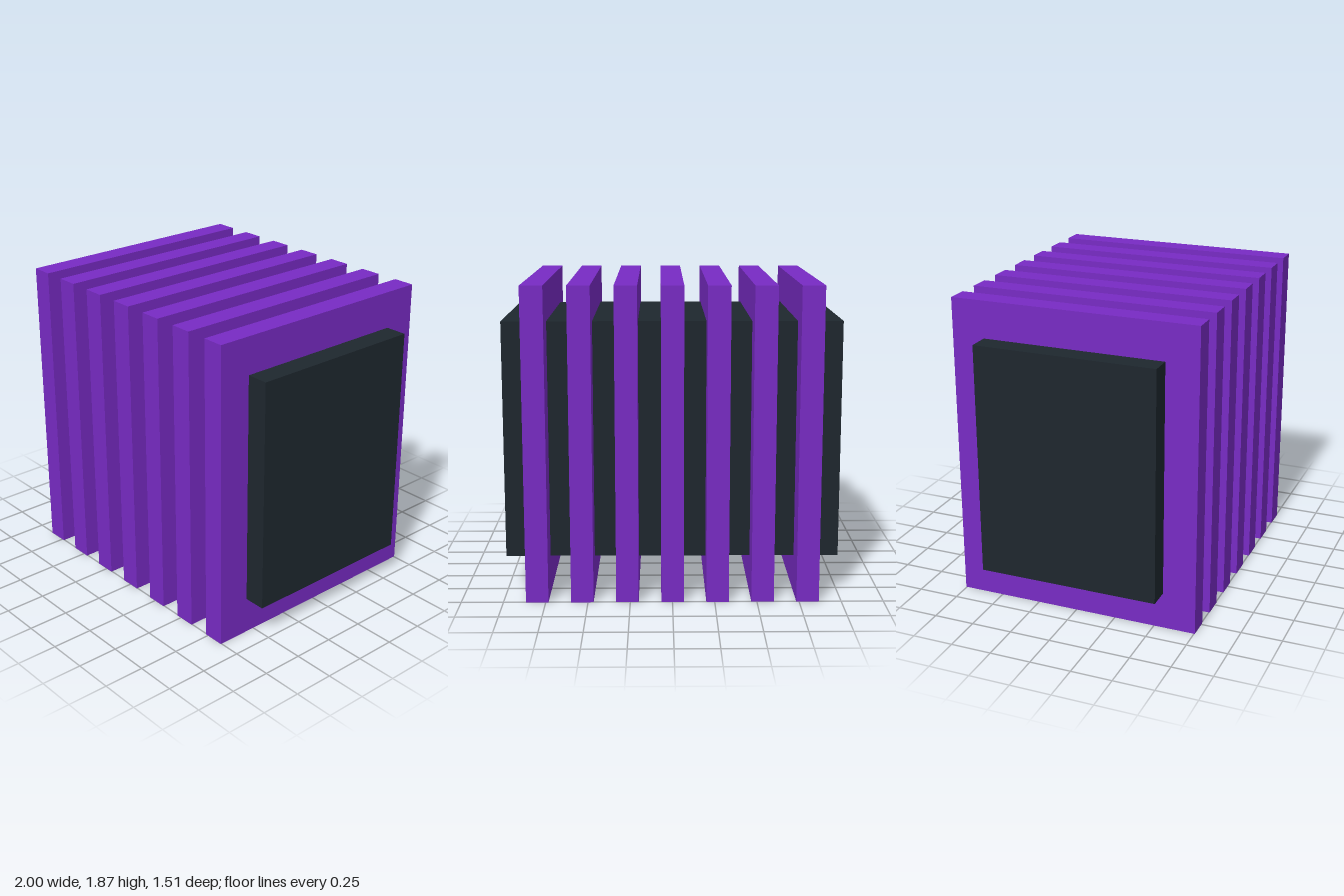
import * as THREE from 'three';

export function createModel() {
  const model = new THREE.Group();
  model.name = 'finnedBlock';
  const finMaterial = new THREE.MeshStandardMaterial({ color: 0x782bc4 });
  const coreMaterial = new THREE.MeshStandardMaterial({ color: 0x1e272e });
  const height = 1.87;

  const addBox = (name, size, x, material) => {
    const mesh = new THREE.Mesh(new THREE.BoxGeometry(...size), material);
    mesh.name = name;
    mesh.position.set(x, height / 2, 0);
    model.add(mesh);
  };

  // Solid core running the full width
  addBox('core', [2, 1.42, 1.11], 0, coreMaterial);

  // Seven evenly spaced fins around the core
  const finCount = 7;
  const spacing = 1.6 / (finCount - 1);
  for (let i = 0; i < finCount; i++) {
    addBox(`fin${i + 1}`, [0.133, height, 1.51], -0.8 + i * spacing, finMaterial);
  }

  return model;
}
